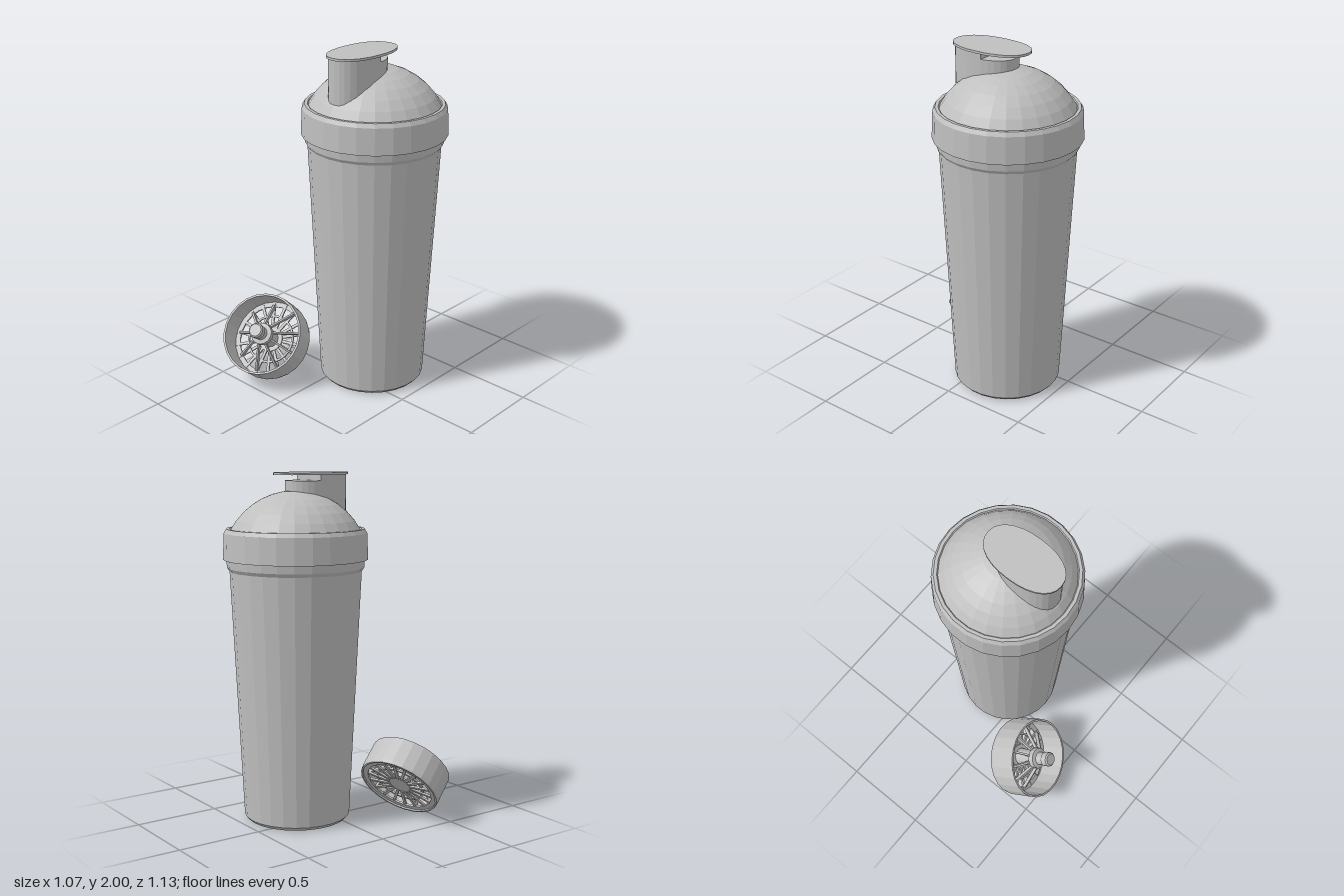
import * as THREE from 'three';

const plastic = new THREE.MeshStandardMaterial({ color: 0xbfbfbf, flatShading: true, side: THREE.DoubleSide });
plastic.name = 'grey plastic';

function add(parent, name, geometry) {
  const mesh = new THREE.Mesh(geometry, plastic);
  mesh.name = name;
  parent.add(mesh);
  return mesh;
}

const lathe = (points, sides) =>
  new THREE.LatheGeometry(points.map(([r, y]) => new THREE.Vector2(r, y)), sides);

// Upright oval prism; everything behind zMin is cut off flat
function ovalPrism(halfX, halfZ, zCentre, y0, y1, zMin = -9) {
  const points = [];
  for (let i = 0; i < 28; i++) {
    const a = (i / 28) * Math.PI * 2;
    const soft = (v) => Math.sign(v) * Math.pow(Math.abs(v), 0.9);
    const z = Math.max(zMin, zCentre - halfZ * soft(Math.sin(a)));
    points.push(new THREE.Vector2(halfX * soft(Math.cos(a)), -z));
  }
  const g = new THREE.ExtrudeGeometry(new THREE.Shape(points), { depth: y1 - y0, bevelEnabled: false });
  return g.rotateX(-Math.PI / 2).translate(0, y0, 0);
}

function createBottle() {
  const bottle = new THREE.Group();
  bottle.name = 'bottle';

  // Tapered cup with a lip under the lid
  add(bottle, 'cup', lathe([
    [0, 0], [0.29, 0], [0.308, 0.02], [0.376, 1.45], [0.39, 1.47], [0.394, 1.52], [0.3, 1.52],
  ], 26));

  // Screw collar
  add(bottle, 'lidCollar', lathe([
    [0.37, 1.515], [0.412, 1.515], [0.406, 1.665], [0.392, 1.688], [0.374, 1.688], [0.362, 1.672],
  ], 26));

  // Domed lid, a cap of a sphere
  const R = 0.42, dome = [];
  for (let i = 0; i <= 7; i++) {
    const a = 1.08 * (1 - i / 7);
    dome.push([R * Math.sin(a), 1.9 - R + R * Math.cos(a)]);
  }
  add(bottle, 'lidDome', lathe(dome, 26));

  // Drinking spout: low at the back, raised at the front under the flip cap
  const zs = 0.14;
  add(bottle, 'spout', ovalPrism(0.124, 0.187, zs, 1.7, 1.955));
  add(bottle, 'spoutFront', ovalPrism(0.124, 0.187, zs, 1.9, 1.99, 0.09));
  add(bottle, 'flipCap', ovalPrism(0.135, 0.235, 0.107, 1.987, 2));

  bottle.position.set(0.128, 0, -0.15);
  return bottle;
}

function createStrainer() {
  const strainer = new THREE.Group();
  strainer.name = 'strainer';
  const r = 0.243, h = 0.09;

  // Outer wall
  add(strainer, 'strainerWall', lathe([
    [r - 0.014, -h], [r - 0.004, -h], [r, -h + 0.02], [r, h], [r - 0.012, h], [r - 0.014, -h],
  ], 24));

  // Base rings and centre disc
  const ring = (name, r0, r1, y) => add(strainer, name, lathe([
    [r0, y], [r1, y], [r1, y + 0.012], [r0, y + 0.012], [r0, y],
  ], 24));
  ring('rimRing', 0.2, 0.235, -0.08);
  ring('middleRing', 0.135, 0.147, -0.068);
  ring('centreDisc', 0, 0.075, -0.07);

  // Flat spokes across the base and ribs rising to the hub
  const count = 18;
  for (let i = 0; i < count; i++) {
    const arm = new THREE.Group();
    arm.name = 'spoke';
    arm.rotation.y = (i / count) * Math.PI * 2;
    add(arm, 'baseSpoke', new THREE.BoxGeometry(0.16, 0.012, 0.016).translate(0.145, -0.07, 0));
    if (i % 2 === 0) {
      const rib = add(arm, 'risingRib', new THREE.BoxGeometry(0.19, 0.02, 0.012));
      rib.position.set(0.13, 0, 0);
      rib.rotation.z = -0.72;
    }
    strainer.add(arm);
  }

  // Hub with collar and knob
  add(strainer, 'hub', lathe([
    [0.05, -0.06], [0.045, 0.05], [0.064, 0.06], [0.064, 0.095], [0.04, 0.1],
    [0.036, 0.14], [0.044, 0.145], [0.044, 0.182], [0.036, 0.19], [0, 0.19],
  ], 14));

  // Leaning against the bottle, open side up and forward
  const axis = new THREE.Vector3(0.27, 0.63, 0.73).normalize();
  strainer.quaternion.setFromUnitVectors(new THREE.Vector3(0, 1, 0), axis);
  strainer.position.set(-0.28, 0.255, 0.333);
  return strainer;
}

export function createModel() {
  const model = new THREE.Group();
  model.name = 'shakerBottle';
  model.add(createBottle(), createStrainer());
  return model;
}
